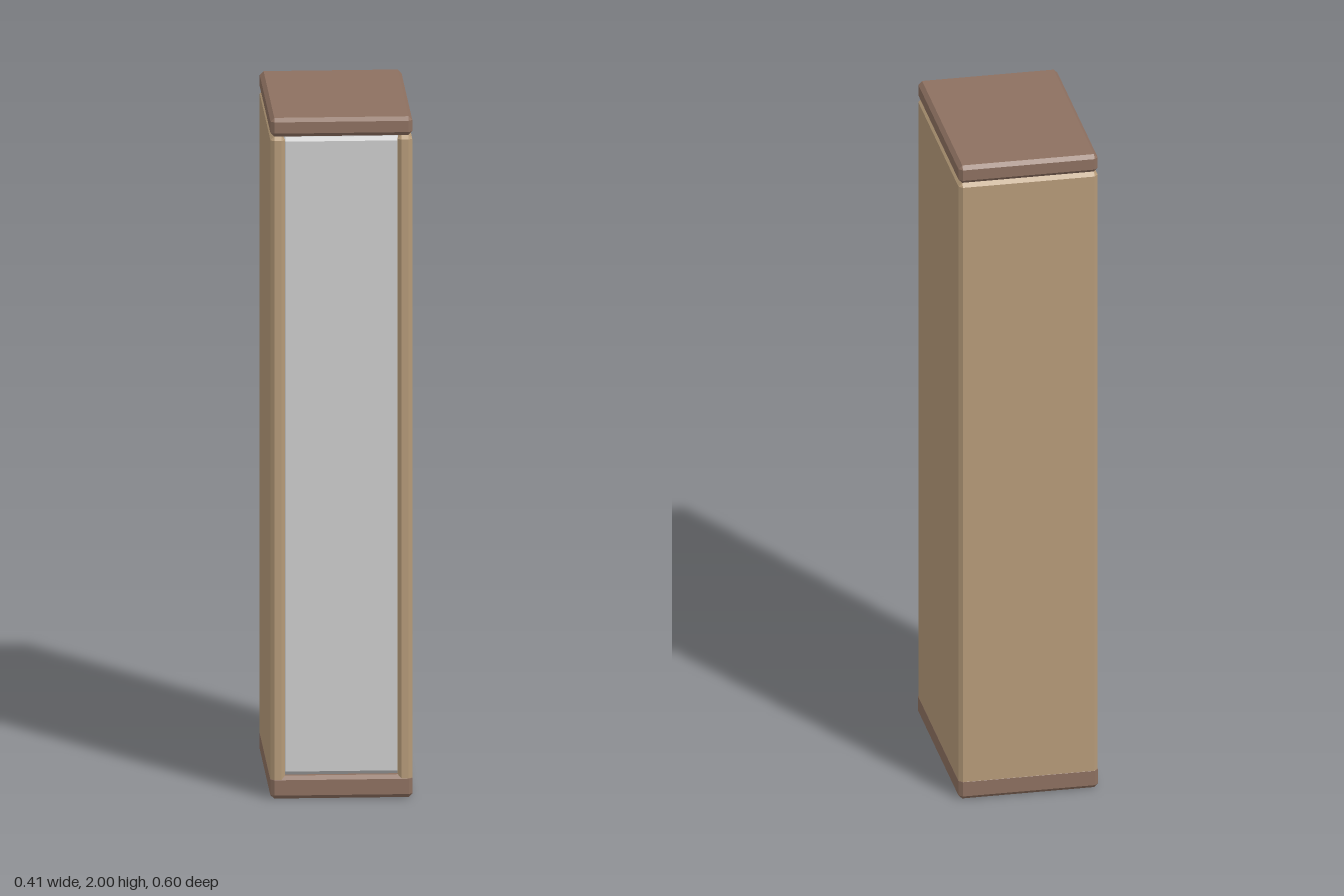
import * as THREE from 'three';
import { ConvexGeometry } from 'three/addons/geometries/ConvexGeometry.js';

const material = (color) => new THREE.MeshStandardMaterial({ color, flatShading: true });

// Box with every edge chamfered by c
function chamferedBox(w, h, d, c) {
  const points = [];
  for (const sx of [-1, 1]) for (const sy of [-1, 1]) for (const sz of [-1, 1]) {
    const x = w / 2, y = h / 2, z = d / 2;
    points.push(
      new THREE.Vector3(sx * x, sy * (y - c), sz * (z - c)),
      new THREE.Vector3(sx * (x - c), sy * y, sz * (z - c)),
      new THREE.Vector3(sx * (x - c), sy * (y - c), sz * z));
  }
  return new ConvexGeometry(points);
}

export function createModel() {
  const group = new THREE.Group();
  const wood = material(0xb59a78);
  const darkWood = material(0x8d7060);
  const pale = material(0xd6d5d2);
  const W = 0.406, D = 0.6, C = 0.011;   // outer width, depth, chamfer
  const bodyTop = 1.945, side = 0.042;

  // Add a part spanning y0..y1 and z0..z1, centred on x
  function add(name, mat, x, w, y0, y1, z0, z1) {
    const mesh = new THREE.Mesh(chamferedBox(w, y1 - y0, z1 - z0, C), mat);
    mesh.name = name;
    mesh.position.set(x, (y0 + y1) / 2, (z0 + z1) / 2);
    group.add(mesh);
  }

  // Dark slabs, the base a hair proud of the carcass
  add('topSlab', darkWood, 0, W, bodyTop, 2, -D / 2, D / 2);
  add('base', darkWood, 0, W + 0.001, 0, 0.067, -D / 2 - 0.0005, D / 2 + 0.0005);

  // Carcass: two sides and a back
  for (const s of [-1, 1]) {
    add(s > 0 ? 'leftSide' : 'rightSide', wood, s * (W - side) / 2, side, 0, bodyTop, -D / 2, D / 2);
  }
  add('backPanel', wood, 0, W, 0, bodyTop, -D / 2, -D / 2 + side);

  // Slightly recessed door closing the front
  add('door', pale, 0, W - 2 * side + 0.02, 0.067, 1.94, 0.245, 0.287);

  return group;
}
